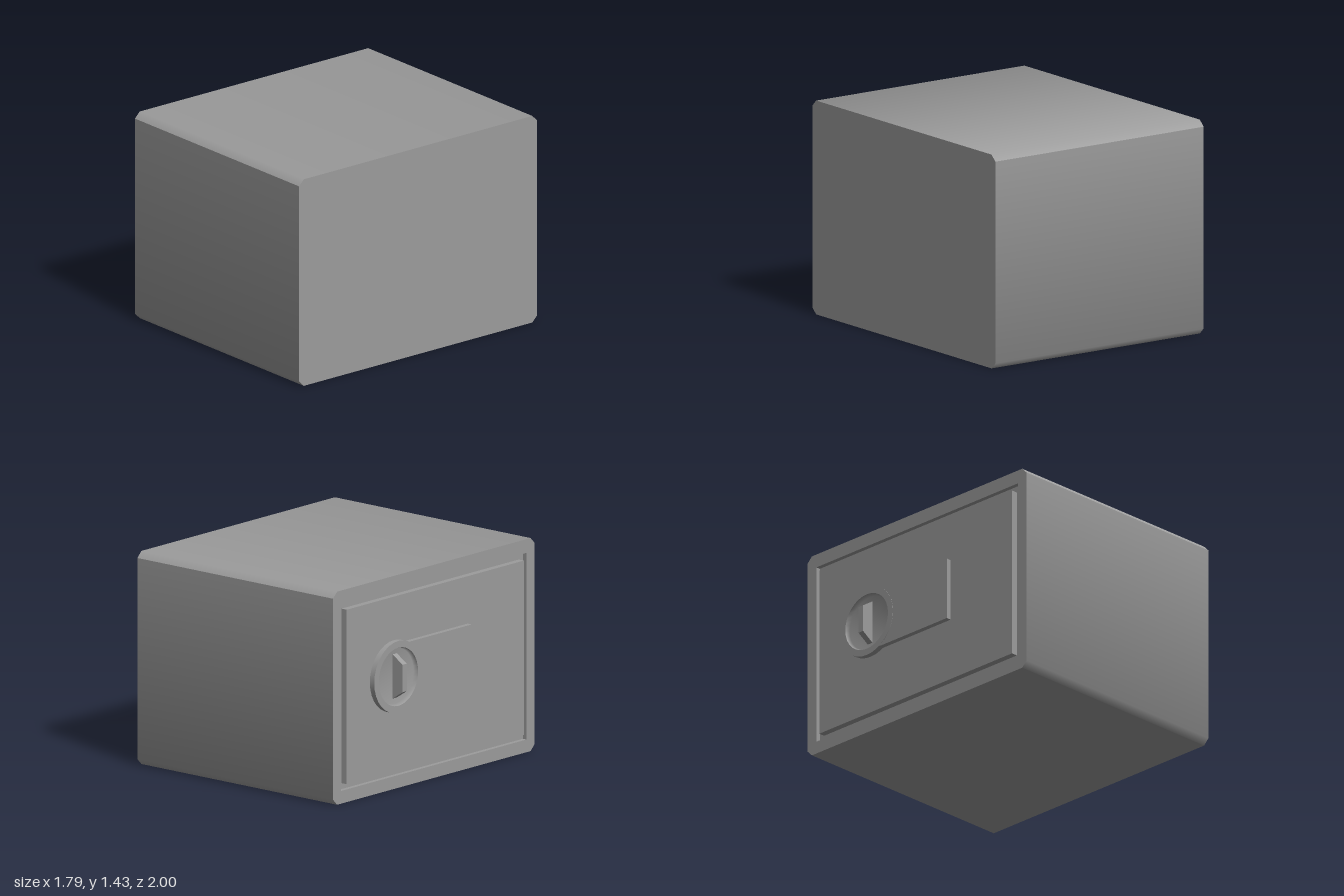
import * as THREE from 'three';
import { toCreasedNormals } from 'three/addons/utils/BufferGeometryUtils.js';

const material = new THREE.MeshStandardMaterial({ color: 0x9c9c9c });

// Centre of the lock, shared by dial, plate and handle
const LOCK_Y = 0.763, LOCK_Z = -0.41, DIAL_R = 0.24;

// Planes along x: back of the case, recess floor, rim
const BACK = 0.893, FLOOR = -0.758, RIM = -0.79;

const points = (list) => list.map(([a, b]) => new THREE.Vector2(a, b));

function addMesh(group, name, geometry) {
  const mesh = new THREE.Mesh(geometry, material);
  mesh.name = name;
  group.add(mesh);
  return mesh;
}

// Corners of a rectangle in (z, y), counter-clockwise
const rectangle = (z, y0, y1) => points([[-z, y0], [z, y0], [z, y1], [-z, y1]]);

// Flat face of a (z, y) shape, facing -x
const face = (shape, x) => new THREE.ShapeGeometry(shape).rotateY(-Math.PI / 2).translate(x, 0, 0);

// Extrudes a (z, y) shape from x = back to x = front, towards -x
function slab(shape, back, front) {
  const geometry = new THREE.ExtrudeGeometry(shape, {
    depth: back - front, bevelEnabled: false, curveSegments: 24,
  });
  return geometry.rotateY(-Math.PI / 2).translate(back, 0, 0);
}

// Smooth wall along x that follows a (z, y) path, facing the right of the path
function wall(path, back, front) {
  const edgeNormals = path.slice(1).map((p, i) =>
    new THREE.Vector2(p.y - path[i].y, path[i].x - p.x).normalize());
  const position = [], normal = [], index = [];
  path.forEach((p, i) => {
    const before = edgeNormals[Math.max(i - 1, 0)];
    const after = edgeNormals[Math.min(i, edgeNormals.length - 1)];
    const n = before.clone().add(after).normalize();
    for (const x of [front, back]) {
      position.push(x, p.y, p.x);
      normal.push(0, n.y, n.x);
    }
    const k = 2 * i;
    if (i < path.length - 1) index.push(k, k + 1, k + 3, k, k + 3, k + 2);
  });
  const geometry = new THREE.BufferGeometry();
  geometry.setAttribute('position', new THREE.Float32BufferAttribute(position, 3));
  geometry.setAttribute('normal', new THREE.Float32BufferAttribute(normal, 3));
  geometry.setIndex(index);
  return geometry;
}

// Case with chamfered long edges and a shallow recess for the door
function createCase() {
  const group = new THREE.Group();
  group.name = 'case';
  const h = 1.427, c = 0.04;
  const outline = points([
    [-1 + c, 0], [1 - c, 0], [1, c], [1, h - c],
    [1 - c, h], [-1 + c, h], [-1, h - c], [-1, c],
  ]);

  // Upper chamfers blend into the top, lower chamfers into the sides
  const strips = {
    bottomWall: [0, 1], leftWall: [1, 2, 3], topWall: [3, 4, 5, 6], rightWall: [6, 7, 0],
  };
  for (const [name, corners] of Object.entries(strips)) {
    addMesh(group, name, wall(corners.map((i) => outline[i]), BACK, RIM));
  }

  addMesh(group, 'backPanel',
    new THREE.ShapeGeometry(new THREE.Shape(outline)).rotateY(Math.PI / 2).translate(BACK, 0, 0));

  // Rim, recess walls and recess floor
  const opening = rectangle(0.92, 0.085, 1.335);
  const rim = new THREE.Shape(outline);
  rim.holes.push(new THREE.Path(opening));
  addMesh(group, 'rim', face(rim, RIM));
  opening.forEach((p, i) =>
    addMesh(group, 'recessWall', wall([opening[(i + 1) % 4], p], FLOOR, RIM)));
  addMesh(group, 'recessFloor', face(new THREE.Shape(opening), FLOOR));
  return group;
}

function createLock() {
  const group = new THREE.Group();
  group.name = 'lock';

  // Plate, its cut end tucked inside the dial ring
  const half = 0.213, cut = DIAL_R - 0.018, angle = Math.asin(half / DIAL_R);
  const plate = new THREE.Shape();
  plate.moveTo(0.32, LOCK_Y - half);
  plate.lineTo(0.32, LOCK_Y + half);
  plate.lineTo(LOCK_Z + cut * Math.cos(angle), LOCK_Y + half);
  plate.absarc(LOCK_Z, LOCK_Y, cut, angle, -angle, true);
  plate.lineTo(LOCK_Z + cut * Math.cos(angle), LOCK_Y - half);
  addMesh(group, 'lockPlate', slab(plate, -0.803, -0.839));

  // Dial: a crisp ring around a softly shaded cup
  const ringProfile = points([[DIAL_R, 0], [DIAL_R, 0.038], [0.195, 0.038]]);
  const cupProfile = points([[0.195, 0.038], [0.185, 0.006], [0, 0.006]]);
  const ring = toCreasedNormals(new THREE.LatheGeometry(ringProfile, 32), 0.9);
  const cup = new THREE.LatheGeometry(cupProfile, 32);
  for (const [name, geometry] of [['dialRing', ring], ['dialCup', cup]]) {
    addMesh(group, name, geometry.rotateZ(Math.PI / 2)).position.set(-0.803, LOCK_Y, LOCK_Z);
  }

  // Turning handle: an upright blade with sloped ends
  const blade = new THREE.Shape(points([
    [0, -0.152], [0, 0.152], [-0.092, 0.092], [-0.092, -0.092],
  ]));
  addMesh(group, 'handle', new THREE.ExtrudeGeometry(blade, { depth: 0.042, bevelEnabled: false }))
    .position.set(-0.803, LOCK_Y, LOCK_Z - 0.021);
  return group;
}

export function createModel() {
  const safe = new THREE.Group();
  safe.name = 'safe';
  safe.add(createCase(), createLock());
  addMesh(safe, 'door', slab(new THREE.Shape(rectangle(0.88, 0.125, 1.293)), FLOOR, -0.803));
  return safe;
}
